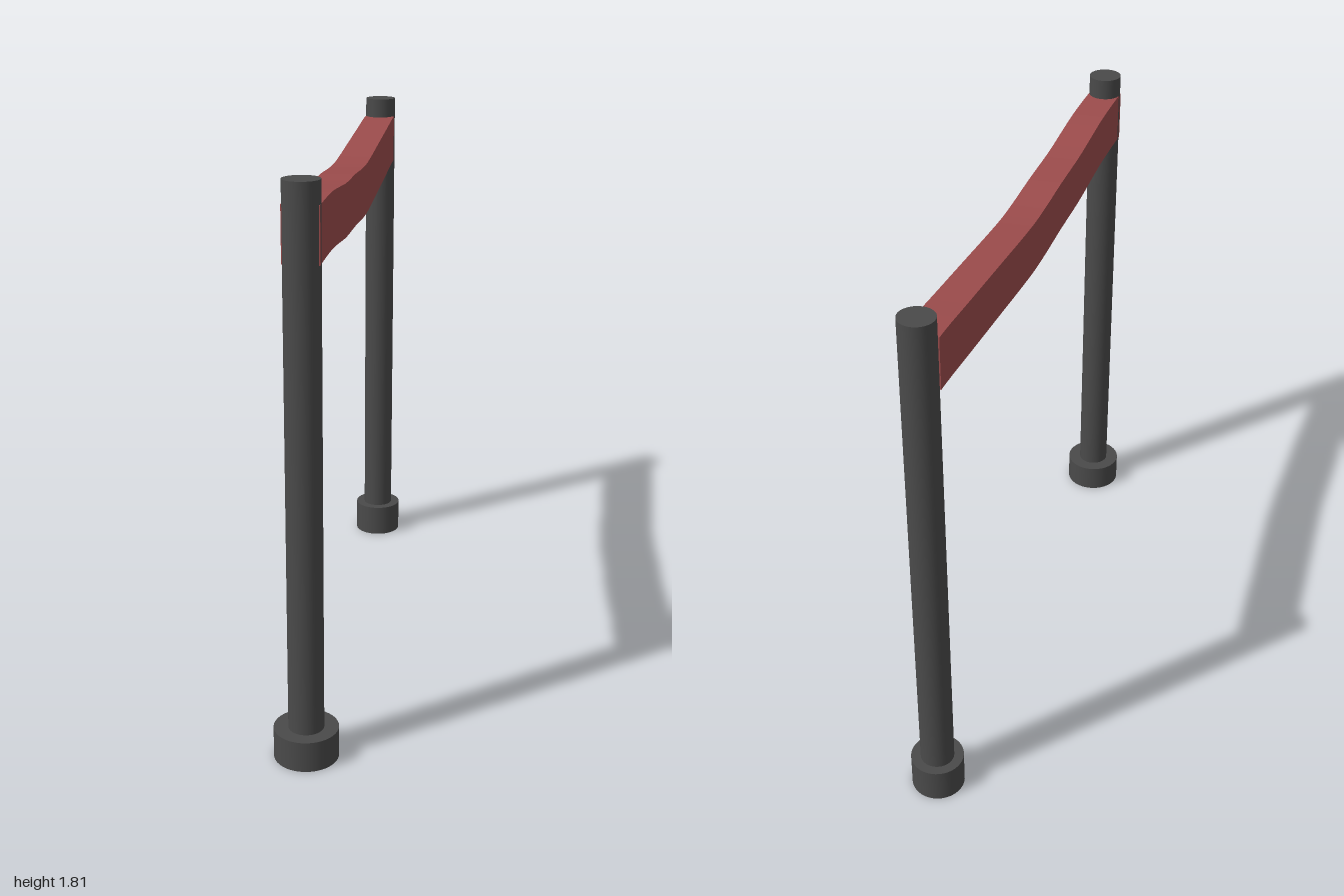
import * as THREE from 'three';

const dark = new THREE.MeshStandardMaterial({ color: 0x4a4a4a });
const red = new THREE.MeshStandardMaterial({ color: 0x9c4c4c });

// Upright cylinder standing on height y
function cylinder(name, radius, y, height) {
  const geometry = new THREE.CylinderGeometry(radius, radius, height, 40);
  geometry.translate(0, y + height / 2, 0);
  const mesh = new THREE.Mesh(geometry, dark);
  mesh.name = name;
  return mesh;
}

// Post with its round foot
function post(name, z, baseRadius, baseHeight) {
  const group = new THREE.Group();
  group.name = name;
  group.add(cylinder('base', baseRadius, 0, baseHeight));
  group.add(cylinder('pole', 0.056, baseHeight, 1.812 - baseHeight));
  group.position.z = z;
  return group;
}

// Sagging band: a long box whose cross-sections follow a curve of (z, centre height)
function band() {
  const sag = new THREE.SplineCurve([
    [-0.89, 1.659], [-0.8, 1.655], [-0.65, 1.644], [-0.38, 1.626], [-0.22, 1.615], [-0.07, 1.608],
    [0.06, 1.612], [0.2, 1.621], [0.4, 1.628], [0.55, 1.642], [0.67, 1.653], [0.8, 1.657], [0.917, 1.657],
  ].map(([z, y]) => new THREE.Vector2(z, y)));
  const geometry = new THREE.BoxGeometry(0.111, 0.17, 1, 1, 1, 60);
  const pos = geometry.attributes.position;
  for (let i = 0; i < pos.count; i++) {
    const p = sag.getPoint(THREE.MathUtils.clamp(pos.getZ(i) + 0.5, 0, 1));
    pos.setY(i, pos.getY(i) + p.y);
    pos.setZ(i, p.x);
  }
  geometry.computeVertexNormals();
  const mesh = new THREE.Mesh(geometry, red);
  mesh.name = 'band';
  return mesh;
}

export function createModel() {
  const model = new THREE.Group();
  model.name = 'barrier';
  model.add(post('frontPost', 0.898, 0.102, 0.1));
  model.add(post('backPost', -0.912, 0.088, 0.118));
  model.add(band());
  return model;
}
